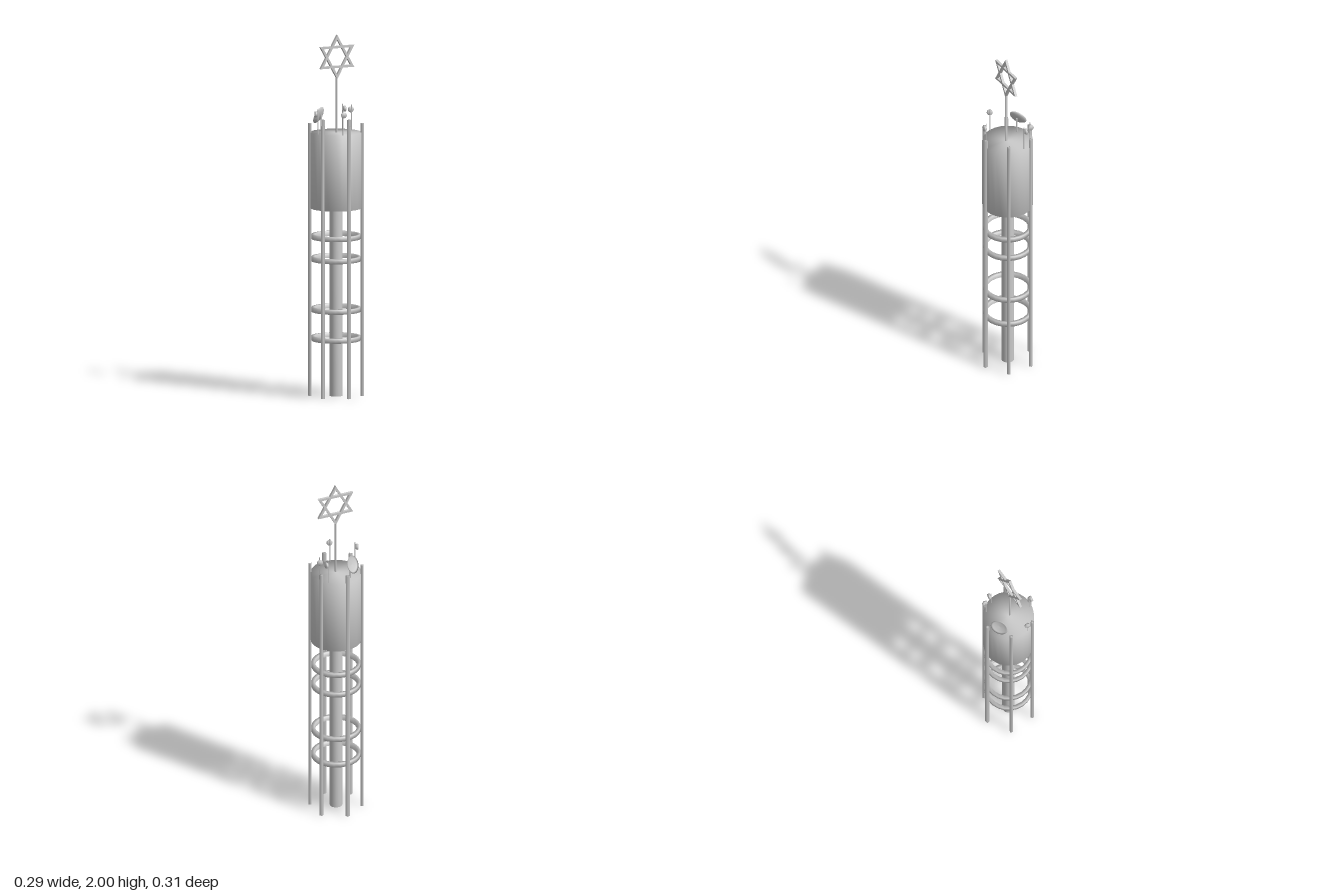
import * as THREE from 'three';

const grey = new THREE.MeshStandardMaterial({ color: 0xcccccc, side: THREE.DoubleSide });
const CX = 0.003, CZ = -0.002; // tower axis

function add(parent, name, geometry, x = 0, y = 0, z = 0) {
  const mesh = new THREE.Mesh(geometry, grey);
  mesh.name = name;
  mesh.position.set(x, y, z);
  parent.add(mesh);
  return mesh;
}

// Turned solid with normals blended over its rims
function turned(points, sides) {
  return new THREE.LatheGeometry(points.map(([r, y]) => new THREE.Vector2(r, y)), sides);
}

function solidCylinder(r, y0, y1, sides) {
  return turned([[0, y0], [r, y0], [r, y1], [0, y1]], sides);
}

// Point a turned part's +y axis along a direction
function aim(mesh, direction) {
  const d = new THREE.Vector3(...direction).normalize();
  mesh.quaternion.setFromUnitVectors(new THREE.Vector3(0, 1, 0), d);
  return d;
}

// Triangular frame for the ornament
function triangleFrame(radius, bar, depth) {
  const corners = (r) => [0, 1, 2].map((i) => {
    const a = Math.PI / 2 + (i * Math.PI * 2) / 3;
    return new THREE.Vector2(r * Math.cos(a), r * Math.sin(a));
  });
  const shape = new THREE.Shape(corners(radius));
  shape.holes.push(new THREE.Path(corners(radius - 2 * bar).reverse()));
  return new THREE.ExtrudeGeometry(shape, { depth, bevelEnabled: false });
}

export function createModel() {
  const model = new THREE.Group();
  model.name = 'waterTower';

  // Tank and central pipe
  add(model, 'tank', solidCylinder(0.14, 1.04, 1.46, 24), CX, 0, CZ);
  add(model, 'centralPipe', solidCylinder(0.035, 0, 1.05, 16), CX, 0, CZ);

  // Six legs running up past the tank
  const legGeometry = solidCylinder(0.012, 0, 1.51, 4);
  for (let i = 0; i < 6; i++) {
    const a = (i * Math.PI) / 3 + 0.02;
    const leg = add(model, 'leg', legGeometry, CX + 0.143 * Math.sin(a), 0, CZ + 0.143 * Math.cos(a));
    leg.rotation.y = a + Math.PI / 4 + 0.15;
  }

  // Bracing rings
  const ringGeometry = turned(
    [[0.117, -0.013], [0.135, -0.013], [0.135, 0.013], [0.117, 0.013], [0.117, -0.013]], 24);
  for (const y of [0.32, 0.48, 0.76, 0.883]) add(model, 'bracingRing', ringGeometry, CX, y, CZ);

  // Mast with a six-pointed ornament
  add(model, 'mast', new THREE.BoxGeometry(0.006, 0.34, 0.011), 0.002, 1.6, 0.007);
  const ornament = new THREE.Group();
  ornament.name = 'starOrnament';
  ornament.position.set(CX, 1.878, 0);
  model.add(ornament);
  const frame = triangleFrame(0.122, 0.0125, 0.014);
  add(ornament, 'upwardTriangle', frame);
  add(ornament, 'downwardTriangle', frame).rotation.z = Math.PI;

  // Large dish, tilted up and outward
  const dish = add(model, 'dish', turned(
    [[0, -0.012], [0.025, -0.009], [0.04, -0.004], [0.05, 0.003], [0.04, 0], [0.025, -0.004], [0, -0.006]], 24),
    -0.05, 1.545, -0.1);
  aim(dish, [-0.5, 0.38, -0.78]);
  add(model, 'dishStand', new THREE.CylinderGeometry(0.004, 0.004, 0.13, 6), -0.043, 1.485, -0.088);

  // Small drum antennas on thin poles
  const drumGeometry = turned([[0, -0.008], [0.013, -0.008], [0.017, 0], [0.016, 0.007], [0, 0.009]], 12);
  const poleGeometry = new THREE.CylinderGeometry(0.0025, 0.0025, 0.2, 6);
  const antennas = [
    [0.102, -0.09, [1, 0, 0.05]],
    [0.121, -0.047, [0.2, 0, -0.98]],
    [-0.138, 0.027, [-0.91, 0, -0.41]],
    [-0.021, 0.131, [-0.1, 0, 1]],
  ];
  for (const [x, z, direction] of antennas) {
    const d = aim(add(model, 'drumAntenna', drumGeometry, x, 1.572, z), direction);
    add(model, 'antennaPole', poleGeometry, x - d.x * 0.01, 1.5, z - d.z * 0.01);
  }
  return model;
}
